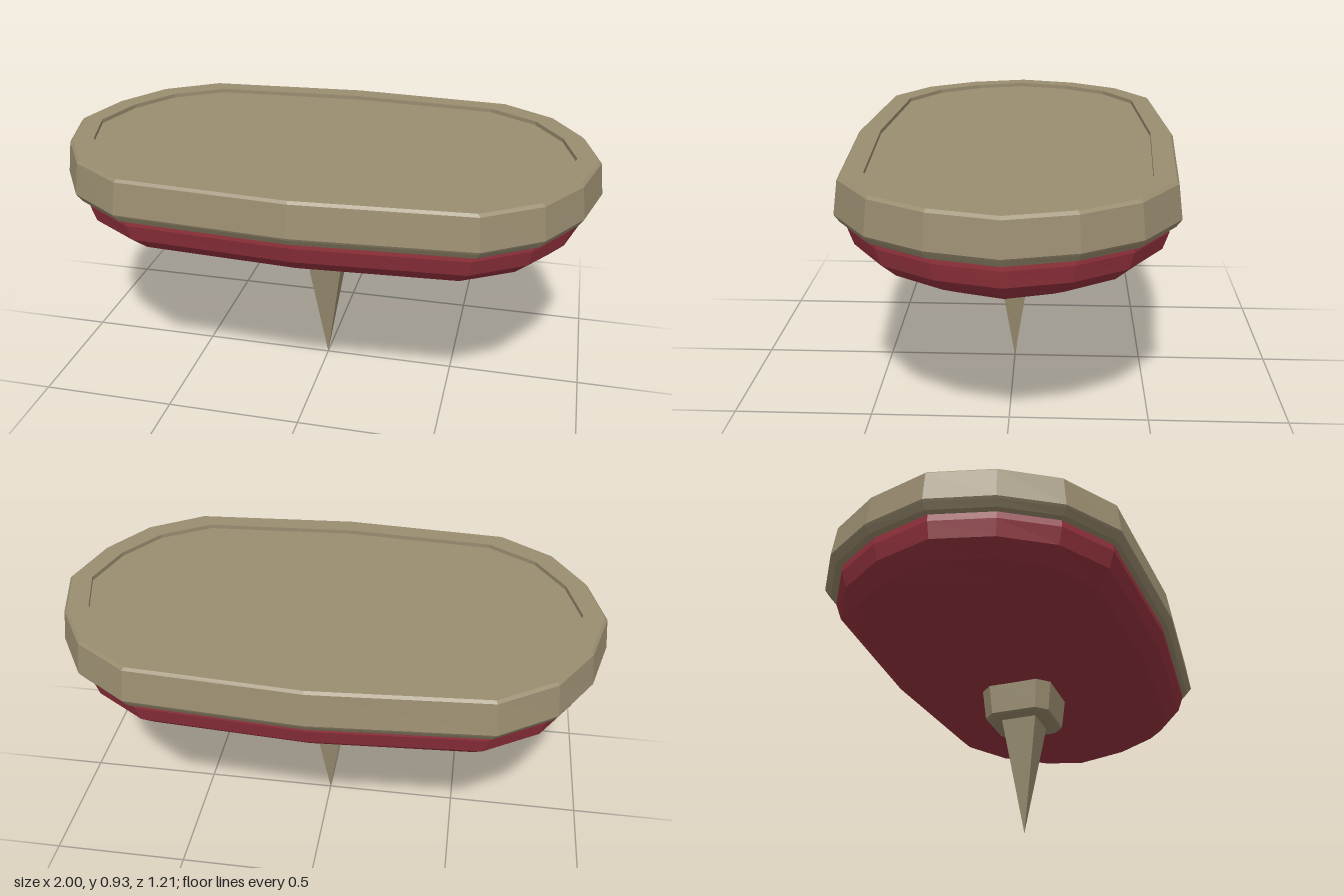
import * as THREE from 'three';

// Quarter outlines [x, z] at unit scale, mirrored to closed loops
const OVAL = [[1, 0], [0.94, 0.385], [0.82, 0.71], [0.622, 0.93], [0, 1]];
const CHAMFERED = [[1, 0.68], [0.68, 1]];

function mirrorLoop(quarter) {
  const flip = (pts, sx, sz) => pts.map(([x, z]) => [x * sx, z * sz]);
  const back = [...quarter].reverse();
  const all = [...quarter, ...flip(back, -1, 1), ...flip(quarter, -1, -1), ...flip(back, 1, -1)];
  // drop points doubled on the axes
  return all.filter(([x, z], i) => {
    const [px, pz] = all[(i + all.length - 1) % all.length];
    return Math.hypot(x - px, z - pz) > 1e-6;
  });
}

// Flat-shaded skin through stacked rings [halfWidth, halfDepth, y], listed from bottom centre to top centre
function loft(quarter, rings) {
  const loop = mirrorLoop(quarter);
  const pos = [];
  const point = ([w, d, y], i) => {
    const [x, z] = loop[i % loop.length];
    return [x * w, y, z * d];
  };
  for (let r = 0; r < rings.length - 1; r++) {
    const lo = rings[r], hi = rings[r + 1];
    for (let i = 0; i < loop.length; i++) {
      const a = point(lo, i), b = point(lo, i + 1), c = point(hi, i + 1), d = point(hi, i);
      if (lo[0] > 0) pos.push(...a, ...c, ...b);
      if (hi[0] > 0) pos.push(...a, ...d, ...c);
      else if (lo[0] > 0) continue;
    }
  }
  const geo = new THREE.BufferGeometry();
  geo.setAttribute('position', new THREE.Float32BufferAttribute(pos, 3));
  geo.computeVertexNormals();
  return geo;
}

export function createModel() {
  const group = new THREE.Group();
  const tan = new THREE.MeshStandardMaterial({ color: 0x9a8d70 });
  tan.name = 'tan';
  const red = new THREE.MeshStandardMaterial({ color: 0x96333e });
  red.name = 'dark red';

  const add = (name, geometry, material) => {
    const mesh = new THREE.Mesh(geometry, material);
    mesh.name = name;
    group.add(mesh);
  };

  // Top slab with bevelled edges and a shallow recess
  add('topSlab', loft(OVAL, [
    [0, 0, 0.775], [0.98, 0.585, 0.775], [0.995, 0.6, 0.797], [1, 0.604, 0.805],
    [0.985, 0.588, 0.92], [0.975, 0.58, 0.93],
    [0.9, 0.505, 0.93], [0.9, 0.505, 0.915], [0, 0, 0.915],
  ]), tan);

  // Rounded bowl under the slab
  add('underBowl', loft(OVAL, [
    [0, 0, 0.56], [0.3, 0.14, 0.563], [0.69, 0.3, 0.573], [0.81, 0.4, 0.6],
    [0.89, 0.49, 0.64], [0.94, 0.545, 0.69], [0.955, 0.565, 0.75],
    [0.955, 0.565, 0.78], [0, 0, 0.78],
  ]), red);

  // Chamfered collar
  add('collar', loft(CHAMFERED, [
    [0, 0, 0.444], [0.118, 0.118, 0.444], [0.127, 0.127, 0.45],
    [0.14, 0.14, 0.58], [0, 0, 0.58],
  ]), tan);

  // Four-sided spike
  add('spike', loft([[1, 1]], [[0, 0, 0], [0.07, 0.07, 0.46], [0, 0, 0.46]]), tan);

  return group;
}
